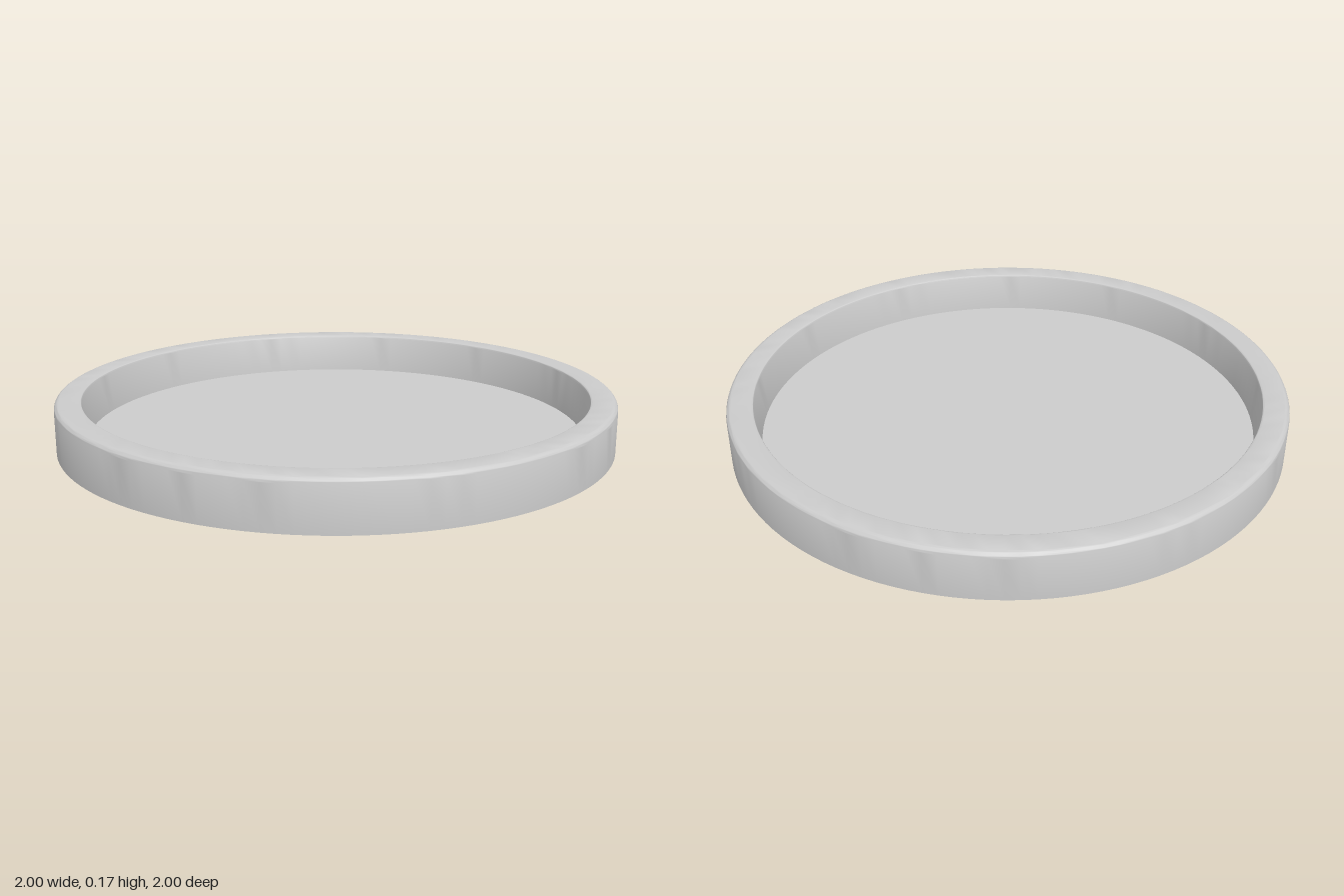
import * as THREE from 'three';
import { toCreasedNormals } from 'three/addons/utils/BufferGeometryUtils.js';

const HEIGHT = 0.172;
const FLOOR = 0.023;
const SEGMENTS = 128;

export function createModel() {
  const group = new THREE.Group();
  group.name = 'roundTray';
  const material = new THREE.MeshStandardMaterial({ color: 0xcccccc });

  // Half section: base, outer wall, rounded rim, tapered inner wall, floor
  const section = new THREE.Path();
  section.moveTo(0, 0);
  section.lineTo(1, 0);
  section.lineTo(1, HEIGHT - 0.02);
  section.absarc(0.98, HEIGHT - 0.02, 0.02, 0, Math.PI / 2, false);
  section.lineTo(0.913, HEIGHT);
  section.quadraticCurveTo(0.906, HEIGHT, 0.905, HEIGHT - 0.007);
  section.lineTo(0.89, FLOOR);
  section.lineTo(0, FLOOR);

  const lathe = new THREE.LatheGeometry(section.getPoints(6), SEGMENTS);
  const tray = new THREE.Mesh(toCreasedNormals(lathe, Math.PI / 6), material);
  tray.name = 'tray';
  group.add(tray);

  return group;
}
